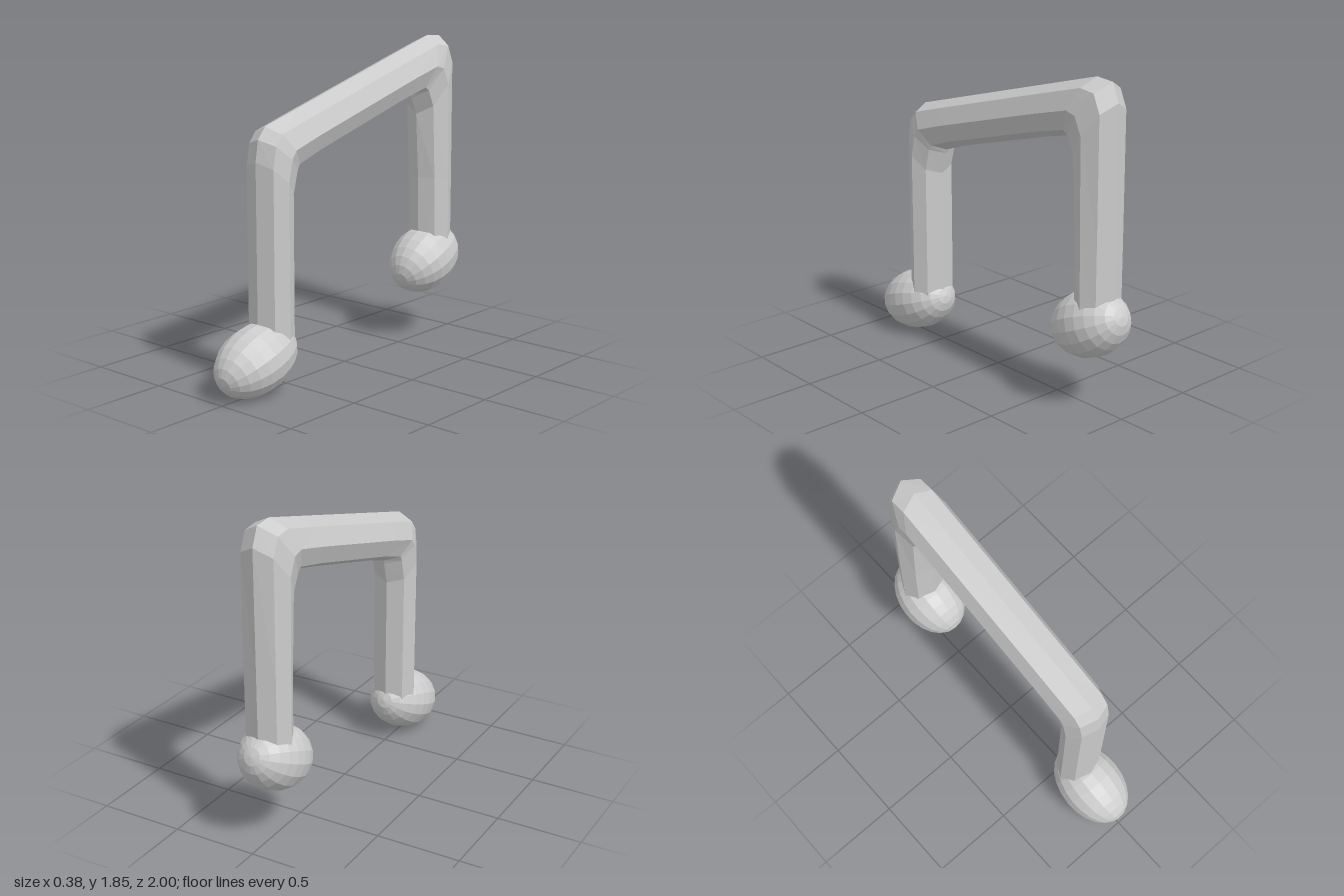
import * as THREE from 'three';

const material = new THREE.MeshStandardMaterial({ color: 0xcccccc, flatShading: true, roughness: 0.8 });

// Bent octagonal bar: each ring spans an outer and an inner point, given as [z, y, z, y]
function bar(rings, halfWidth, sides = 8) {
  const pos = [], index = [];
  for (const [zo, yo, zi, yi] of rings) {
    for (let j = 0; j < sides; j++) {
      const a = (j / sides) * Math.PI * 2;
      const t = (1 - Math.cos(a)) / 2;
      pos.push(halfWidth * Math.sin(a), yo + (yi - yo) * t, zo + (zi - zo) * t);
    }
  }
  for (let i = 0; i < rings.length - 1; i++) {
    for (let j = 0; j < sides; j++) {
      const k = (j + 1) % sides;
      const a = i * sides + j, b = i * sides + k, c = a + sides, d = b + sides;
      index.push(a, b, c, b, d, c);
    }
  }
  // end caps
  const last = (rings.length - 1) * sides;
  for (let j = 1; j < sides - 1; j++) {
    index.push(0, j + 1, j, last, last + j, last + j + 1);
  }
  const g = new THREE.BufferGeometry();
  g.setAttribute('position', new THREE.Float32BufferAttribute(pos, 3));
  g.setIndex(index);
  const flat = g.toNonIndexed();
  flat.computeVertexNormals();
  return flat;
}

// Tilted ellipsoid with its poles on the long axis
function head(name, y, z, width, height, length, tilt) {
  const g = new THREE.SphereGeometry(1, 16, 12);
  g.rotateX(Math.PI / 2);
  g.scale(width, height, length);
  const mesh = new THREE.Mesh(g, material);
  mesh.name = name;
  mesh.position.set(0, y, z);
  mesh.rotation.x = tilt;
  return mesh;
}

export function createModel() {
  const group = new THREE.Group();
  group.name = 'beamedNote';

  // Both stems and the sloping beam in one continuous sweep
  const stems = new THREE.Mesh(bar([
    [0.72, 0.26, 0.50, 0.26],
    [0.72, 1.28, 0.50, 1.06],
    [0.70, 1.40, 0.465, 1.19],
    [0.645, 1.465, 0.455, 1.215],
    [0.40, 1.533, 0.30, 1.27],
    [-0.50, 1.783, -0.40, 1.465],
    [-0.76, 1.855, -0.595, 1.51],
    [-0.87, 1.845, -0.61, 1.485],
    [-0.915, 1.74, -0.655, 1.39],
    [-0.915, 1.00, -0.68, 1.00],
    [-0.915, 0.50, -0.69, 0.50],
  ], 0.14), material);
  stems.name = 'stemsAndBeam';
  group.add(stems);

  // Note heads
  group.add(head('frontHead', 0.197, 0.737, 0.19, 0.185, 0.272, 0.33));
  group.add(head('backHead', 0.487, -0.75, 0.19, 0.19, 0.256, 0.42));

  return group;
}
